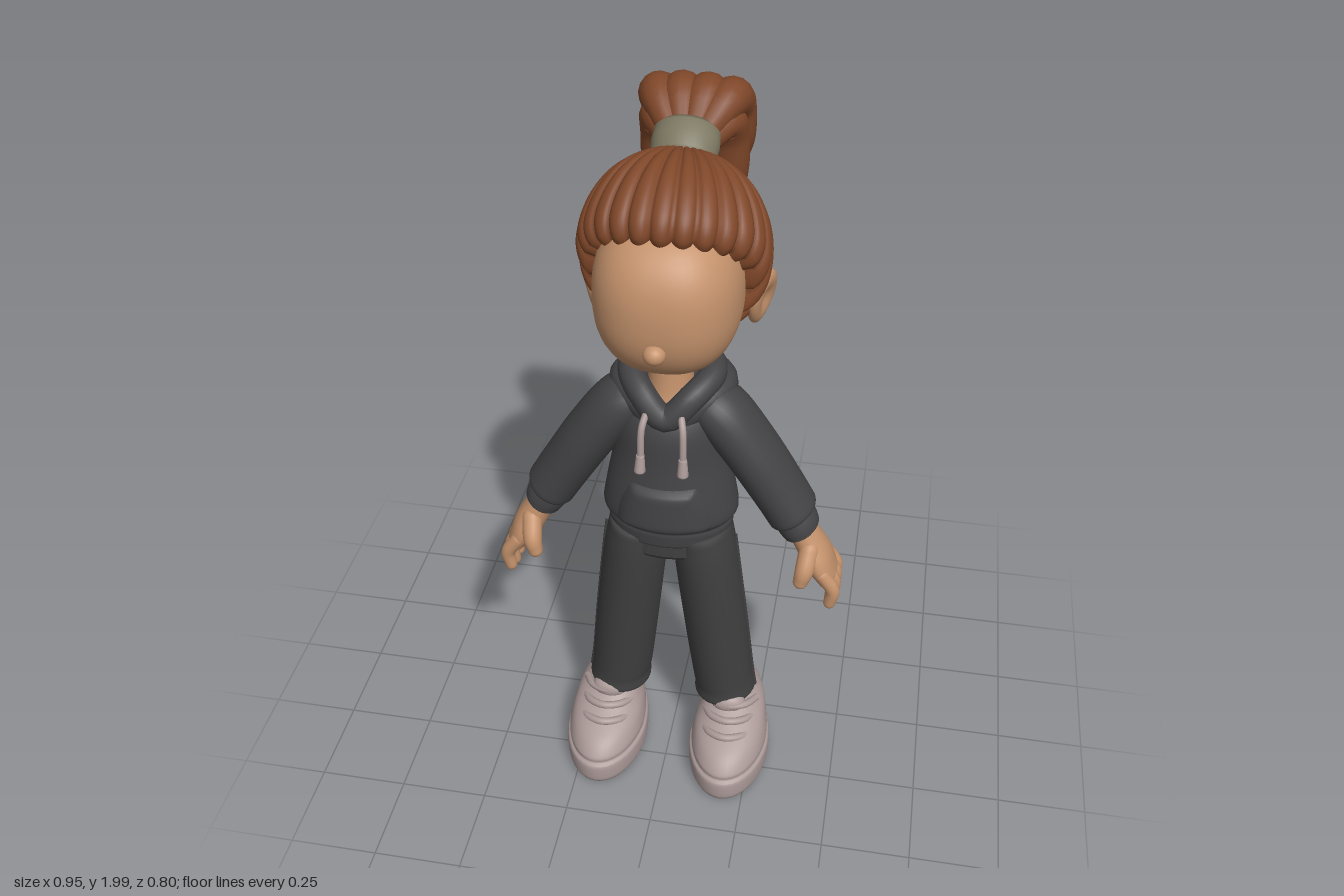
import * as THREE from 'three';

const paint = (name, color) => {
  const m = new THREE.MeshStandardMaterial({ color });
  m.name = name;
  return m;
};
const V = (x, y, z) => new THREE.Vector3(x, y, z);
const clamp = THREE.MathUtils.clamp;

// Smooth surface from rows of points, each row closed into a ring
function ringSurface(rows) {
  const n = rows[0].length, pos = [], idx = [];
  rows.forEach(r => r.forEach(p => pos.push(p.x, p.y, p.z)));
  for (let i = 0; i < rows.length - 1; i++) {
    for (let j = 0; j < n; j++) {
      const k = (j + 1) % n, a = i * n + j, b = i * n + k;
      idx.push(a, a + n, b, b, a + n, b + n);
    }
  }
  const g = new THREE.BufferGeometry();
  g.setAttribute('position', new THREE.Float32BufferAttribute(pos, 3));
  g.setIndex(idx);
  g.computeVertexNormals();
  return g;
}

// Elliptical loft. Stations are [x, y, z, radius along ref, radius across]
function loft(stations, { ref = V(0, 0, 1), axis = null, cap = 0.6, steps = 32, sides = 28 } = {}) {
  const spline = pts => new THREE.CatmullRomCurve3(pts, false, 'catmullrom', 0.5);
  const path = spline(stations.map(s => V(s[0], s[1], s[2])));
  const size = spline(stations.map(s => V(s[3], s[4], 0)));
  const rows = [];
  const ring = (t, k, push) => {
    const T = axis ? axis.clone() : path.getTangent(t);
    const U = ref.clone().addScaledVector(T, -ref.dot(T)).normalize();
    const W = T.clone().cross(U), s = size.getPoint(t);
    const c = path.getPoint(t).addScaledVector(T, push * cap * Math.min(s.x, s.y));
    rows.push(Array.from({ length: sides }, (_, j) => {
      const a = -j / sides * Math.PI * 2;
      return c.clone().addScaledVector(U, Math.cos(a) * s.x * k).addScaledVector(W, Math.sin(a) * s.y * k);
    }));
  };
  for (let i = 5; i > 0; i--) ring(0, Math.cos(i * Math.PI / 10), -Math.sin(i * Math.PI / 10));
  for (let i = 0; i <= steps; i++) ring(i / steps, 1, 0);
  for (let i = 1; i <= 5; i++) ring(1, Math.cos(i * Math.PI / 10), Math.sin(i * Math.PI / 10));
  return ringSurface(rows);
}

// Hair cap: ridged strands fanning out from the tie to the hairline
function hairCap() {
  const P = V(0, 0.8, -0.6), F = V(0, 0.6, 0.8), strands = 26, cols = strands * 8, rows = 32;
  const at = (t, phi, k) => {
    const d = P.clone().multiplyScalar(Math.cos(t)).addScaledVector(F, Math.sin(t) * Math.cos(phi));
    d.x += Math.sin(t) * Math.sin(phi);
    return V(d.x * 0.235 * k, 1.66 + d.y * 0.248 * k, 0.08 + d.z * 0.243 * k);
  };
  const inside = p => p.y > 1.43 && p.z < 0.145 + 0.16 * clamp((p.y - 1.6) / 0.19, 0, 1) ** 2;
  const ends = Array.from({ length: cols }, (_, j) => {
    const phi = j / cols * Math.PI * 2;
    let t = 0.6;
    while (t < 2.6 && inside(at(t, phi, 1))) t += 0.005;
    return t;
  });
  const grid = [];
  for (let i = 0; i <= rows; i++) {
    grid.push(ends.map((end, j) => {
      const u = i / rows, phi = j / cols * Math.PI * 2;
      const crest = Math.abs(Math.cos(phi * strands / 2));
      const v = clamp((u - 0.8) / 0.2, 0, 1);
      const tuck = 1 - 0.2 * (1 - Math.sqrt(1 - v * v));
      const ridge = 1 + 0.06 * Math.min(1, u * 2.2) * (Math.sqrt(crest) - 0.55);
      return at(u * (end + 0.06 * (crest - 0.6)), phi, tuck * ridge);
    }));
  }
  return ringSurface(grid);
}

export function createModel() {
  const skin = paint('skin', 0xc4926c), hair = paint('hair', 0x7f4729), tieMat = paint('hairTie', 0x7d7862);
  const cloth = paint('hoodie', 0x434345), trousers = paint('trousers', 0x404041), shoeMat = paint('shoes', 0xab9a98);
  cloth.side = hair.side = THREE.DoubleSide;
  const model = new THREE.Group();
  const add = (name, geo, mat, x = 0, y = 0, z = 0) => {
    const m = new THREE.Mesh(geo, mat);
    m.name = name;
    m.position.set(x, y, z);
    model.add(m);
    return m;
  };
  const blob = (name, mat, x, y, z, rx, ry, rz) =>
    add(name, new THREE.SphereGeometry(1, 28, 20).scale(rx, ry, rz), mat, x, y, z);
  const tube = (name, pts, r, mat, closed = false) =>
    add(name, new THREE.TubeGeometry(new THREE.CatmullRomCurve3(pts, closed), 48, r, 14, closed), mat);
  const up = V(0, 1, 0);

  // Head: softly squared egg, shallower behind
  const head = new THREE.SphereGeometry(1, 48, 36), hp = head.attributes.position;
  for (let i = 0; i < hp.count; i++) {
    const x = hp.getX(i), y = hp.getY(i), z = hp.getZ(i);
    const k = 1 / (Math.abs(x) ** 2.4 + Math.abs(y) ** 2.4 + Math.abs(z) ** 2.4) ** (1 / 2.4);
    hp.setXYZ(i, x * k * 0.184, y * k * 0.205, z * k * (z > 0 ? 0.21 : 0.17));
  }
  head.computeVertexNormals();
  add('head', head, skin, 0, 1.6, 0.14);
  blob('nose', skin, 0, 1.53, 0.345, 0.028, 0.026, 0.028);
  add('neck', loft([[0, 1.24, 0.14, 0.07, 0.075], [0, 1.31, 0.13, 0.062, 0.06], [0, 1.44, 0.125, 0.055, 0.053]]), skin);

  // Hair, tie and ponytail
  add('hairCap', hairCap(), hair);
  const band = new THREE.LatheGeometry([[0.7, -0.05], [0.95, -0.04], [1, 0], [0.97, 0.035], [0.8, 0.05], [0.3, 0.05]]
    .map(p => new THREE.Vector2(p[0], p[1])), 32).scale(0.085, 1, 0.066);
  add('hairTie', band, tieMat, 0, 1.865, -0.075).rotation.x = -Math.PI / 3;
  tieMat.side = THREE.DoubleSide;
  const lock = (pts, x, name) => add(name, loft(pts.map(([y, z, r, spread]) =>
    [x * spread, y, z, r, r]), { ref: V(1, 0, 0), cap: 0.8, sides: 16 }), hair);
  [-1, -0.35, 0.35, 1].forEach((f, i) => {
    const flick = i === 0 || i === 3, drop = i === 1 ? 0.02 : 0;
    lock([[1.885, -0.11, 0.035, 0.45], [1.95 - 0.015 * Math.abs(f), -0.19, 0.05, 0.95], [1.895, -0.265, 0.056, 1.02],
      [1.8, -0.29, 0.055, 1], ...(flick ? [[1.73, -0.325, 0.038, i ? 0.95 : 1.2], [1.69, -0.395, 0.005, i ? 0.95 : 1.6]]
        : [[1.69, -0.3, 0.045, 0.9], [1.58 - drop, -0.335, 0.006, 0.7]])], f * 0.09, 'ponytailOuterLock');
  });
  [-1, -0.35, 0.35, 1].forEach((f, i) => lock([[1.86, -0.11, 0.035, 0.5], [1.89, -0.17, 0.045, 1], [1.84, -0.21, 0.05, 1.05],
    [1.75, -0.225, 0.05, 1.05], [1.66, -0.235, 0.04, 0.95], [1.58 + (i % 2) * 0.03, -0.28, 0.006, 0.75]],
  f * 0.085, 'ponytailInnerLock'));

  // Hoodie body with ribbed hem
  add('hoodieBody', loft([[0, 0.85, 0.135, 0.122, 0.168], [0, 0.885, 0.135, 0.125, 0.172], [0, 0.9, 0.135, 0.125, 0.17],
    [0, 0.925, 0.135, 0.14, 0.184], [0, 0.99, 0.133, 0.14, 0.175], [0, 1.1, 0.125, 0.131, 0.155], [0, 1.2, 0.122, 0.122, 0.145],
    [0, 1.265, 0.115, 0.095, 0.135], [0, 1.305, 0.11, 0.06, 0.1]], { axis: up, cap: 0.15, steps: 56, sides: 40 }), cloth);
  // Front pocket, a raised panel following the belly
  const pocket = new THREE.PlaneGeometry(2, 2, 28, 20), pp = pocket.attributes.position;
  for (let i = 0; i < pp.count; i++) {
    const u = pp.getX(i), v = (pp.getY(i) + 1) / 2;
    const x = u * (0.135 - 0.05 * v * v), edge = 1 - Math.max(Math.abs(u), Math.abs(2 * v - 1)) ** 8;
    pp.setXYZ(i, x, 0.915 + 0.14 * v, 0.133 + 0.137 * Math.sqrt(1 - (x / 0.178) ** 2) - 0.012 * v + 0.026 * edge);
  }
  pocket.computeVertexNormals();
  add('frontPocket', pocket, cloth);

  // Hood lying around the neck
  const loop = half => [...half, ...half.slice(1, -1).reverse().map(p => V(-p.x, p.y, p.z))];
  tube('hoodRim', loop([V(0, 1.25, 0.215), V(0.065, 1.305, 0.19), V(0.105, 1.333, 0.12), V(0.085, 1.335, 0.045), V(0, 1.33, 0.01)]),
    0.036, cloth, true);
  tube('hoodFold', loop([V(0, 1.235, 0.19), V(0.09, 1.28, 0.165), V(0.128, 1.29, 0.1), V(0.1, 1.285, 0.025), V(0, 1.27, -0.008)]),
    0.04, cloth, true);
  blob('hoodBag', cloth, 0, 1.25, 0.015, 0.13, 0.09, 0.06);

  // Hips
  add('hips', loft([[0, 0.81, 0.14, 0.11, 0.168], [0, 0.87, 0.138, 0.112, 0.165]], { axis: up, cap: 0.35 }), trousers);

  for (const s of [1, -1]) {
    const side = s > 0 ? 'left' : 'right';
    const limb = (name, st, mat, opt) => add(side + name, loft(st.map(p => [p[0] * s, ...p.slice(1)]), opt), mat);

    // Ear with a hollow on its outer face
    const ear = new THREE.SphereGeometry(1, 28, 24), ep = ear.attributes.position;
    for (let i = 0; i < ep.count; i++) {
      const x = ep.getX(i), y = ep.getY(i), z = ep.getZ(i);
      const dent = x * s > 0 ? 0.9 * Math.exp(-(y * y + z * z) * 4) : 0;
      ep.setXYZ(i, (x - s * dent) * 0.026, y * 0.078, z * 0.055 * (1 + 0.2 * y));
    }
    ear.computeVertexNormals();
    add(side + 'Ear', ear, skin, s * 0.216, 1.54, 0.06).rotation.set(0, -s * 0.35, -s * 0.2);

    // Drawstring with its end piece
    tube(side + 'Drawstring', [V(s * 0.045, 1.275, 0.235), V(s * 0.053, 1.24, 0.257), V(s * 0.055, 1.14, 0.268)], 0.009, shoeMat);
    limb('DrawstringEnd', [[0.055, 1.165, 0.268, 0.011, 0.011], [0.056, 1.12, 0.274, 0.015, 0.015]], shoeMat, { sides: 12, steps: 6 });

    // Sleeve and cuff
    limb('Sleeve', [[0.07, 1.27, 0.12, 0.07, 0.05], [0.13, 1.235, 0.13, 0.09, 0.072], [0.21, 1.13, 0.135, 0.092, 0.073],
      [0.285, 1.01, 0.135, 0.089, 0.071], [0.33, 0.935, 0.138, 0.085, 0.07]], cloth, { cap: 0.35 });
    limb('Cuff', [[0.325, 0.93, 0.138, 0.064, 0.055], [0.345, 0.9, 0.138, 0.066, 0.057], [0.357, 0.878, 0.138, 0.064, 0.053]],
      cloth, { cap: 0.15 });

    // Hand: flat palm, four hanging fingers and a forward thumb
    limb('Palm', [[0.35, 0.89, 0.138, 0.045, 0.038], [0.375, 0.845, 0.138, 0.052, 0.04], [0.405, 0.79, 0.138, 0.072, 0.041],
      [0.435, 0.735, 0.135, 0.074, 0.03]], skin, { cap: 0.7 });
    [0.076, 0.115, 0.155, 0.193].forEach((z, i) => {
      const tip = [0.665, 0.65, 0.65, 0.662][i], r = i ? 0.02 : 0.018;
      limb('Finger', [[0.425, 0.76, z, r, r], [0.457, 0.71, z, r, r], [0.452, tip, z, r * 0.85, r * 0.85]],
        skin, { cap: 1, sides: 14, steps: 14 });
    });
    limb('Thumb', [[0.385, 0.83, 0.175, 0.028, 0.028], [0.378, 0.785, 0.21, 0.026, 0.026], [0.37, 0.75, 0.218, 0.021, 0.021]],
      skin, { cap: 1, sides: 14, steps: 14 });

    // Trouser leg with hem and outer seam
    limb('TrouserLeg', [[0.088, 0.86, 0.142, 0.108, 0.08], [0.1, 0.75, 0.142, 0.108, 0.088], [0.128, 0.5, 0.132, 0.102, 0.09],
      [0.15, 0.3, 0.12, 0.1, 0.089], [0.157, 0.25, 0.118, 0.099, 0.088], [0.16, 0.215, 0.118, 0.102, 0.091]], trousers, { cap: 0.15 });
    tube(side + 'Seam', [V(s * 0.179, 0.83, 0.142), V(s * 0.189, 0.75, 0.142), V(s * 0.218, 0.5, 0.132), V(s * 0.239, 0.3, 0.12),
      V(s * 0.25, 0.22, 0.118)], 0.005, trousers);

    // Shoe: thick sole, rounded toe, narrower heel
    const shoe = loft([[0, 0.006, 0.188, 0.205, 0.115], [0, 0.025, 0.188, 0.212, 0.12], [0, 0.07, 0.188, 0.212, 0.12],
      [0, 0.082, 0.186, 0.202, 0.112], [0, 0.1, 0.183, 0.202, 0.113], [0, 0.135, 0.165, 0.184, 0.107], [0, 0.17, 0.13, 0.145, 0.097],
      [-0.01 * s, 0.205, 0.1, 0.112, 0.084], [-0.018 * s, 0.23, 0.095, 0.095, 0.076]],
    { axis: up, cap: 0.05, steps: 48, sides: 40 });
    const sp = shoe.attributes.position;
    for (let i = 0; i < sp.count; i++) sp.setX(i, sp.getX(i) * (1 + 0.5 * (clamp(sp.getZ(i), -0.1, 0.22) - 0.22)));
    shoe.computeVertexNormals();
    add(side + 'Shoe', shoe, shoeMat, s * 0.187);
    blob(side + 'ShoeTongue', shoeMat, s * 0.178, 0.212, 0.19, 0.052, 0.035, 0.036).rotation.x = 0.5;
    // Laces across the instep
    [[0.208, 0.212], [0.182, 0.25], [0.157, 0.292]].forEach(([y, z]) => {
      const x = s * 0.184;
      tube(side + 'Lace', [V(x - 0.075, y - 0.015, z - 0.065), V(x - 0.045, y, z - 0.016), V(x, y + 0.006, z + 0.003),
        V(x + 0.045, y, z - 0.016), V(x + 0.075, y - 0.015, z - 0.065)], 0.011, shoeMat);
    });
  }
  return model;
}
